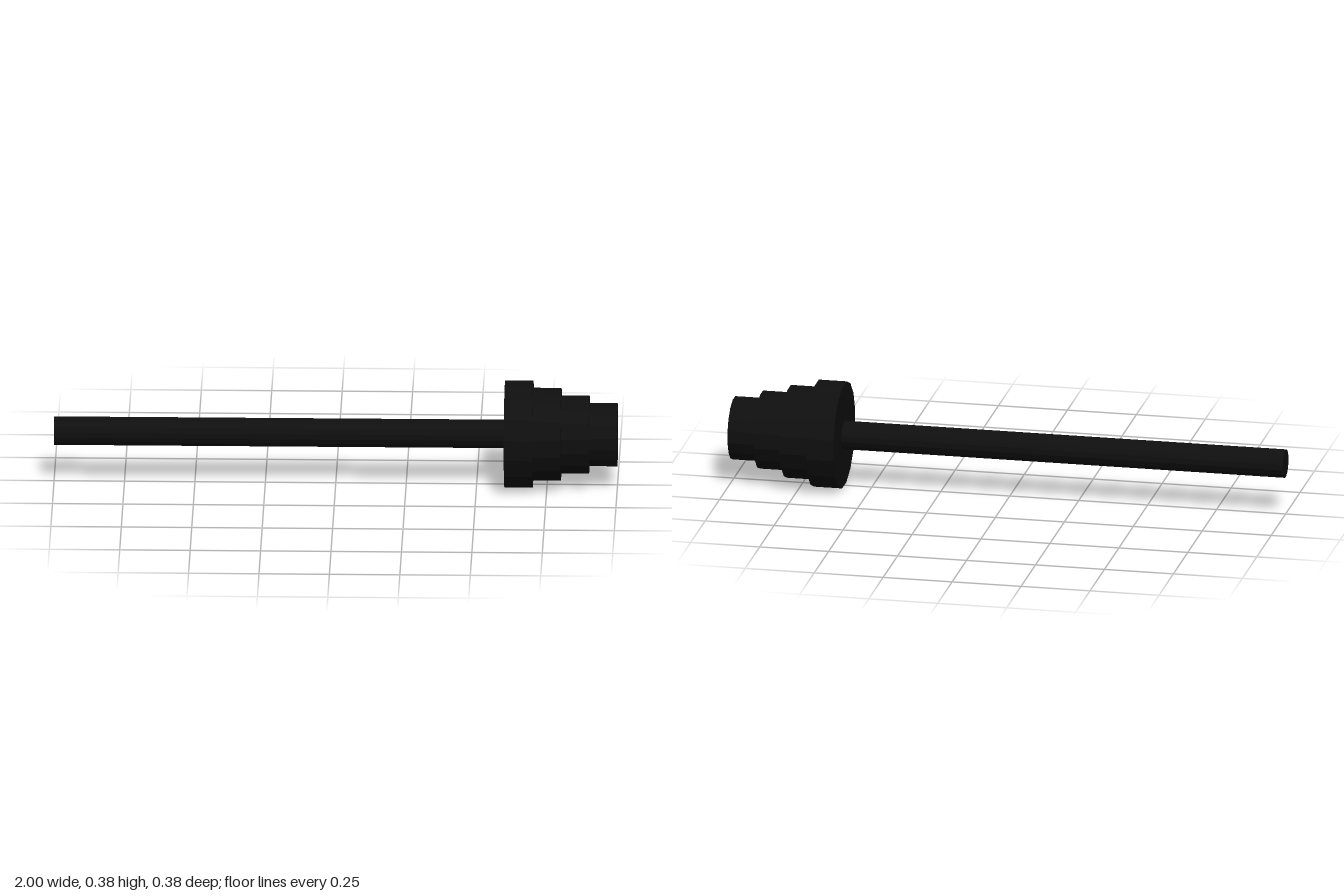
import * as THREE from 'three';

const SIDES = 16;
const HALF_STEP = Math.PI / SIDES;
const AXIS_Y = 0.188;

export function createModel() {
  const model = new THREE.Group();
  const black = new THREE.MeshStandardMaterial({ color: 0x0f0f0f, flatShading: true });
  black.name = 'black';

  // 16-sided cylinder lying along x, with flats facing up and down
  function addCylinder(name, halfHeight, x0, x1) {
    const radius = halfHeight / Math.cos(HALF_STEP);
    const geometry = new THREE.CylinderGeometry(radius, radius, x1 - x0, SIDES, 1, false, HALF_STEP);
    geometry.rotateZ(-Math.PI / 2);
    const mesh = new THREE.Mesh(geometry, black);
    mesh.name = name;
    mesh.position.set((x0 + x1) / 2, AXIS_Y, 0);
    model.add(mesh);
  }

  // Long bar
  addCylinder('bar', 0.05, -1, 0.6);

  // Stacked weight plates, shrinking towards the end
  [0.188, 0.163, 0.137, 0.111].forEach((halfHeight, i) => {
    addCylinder(`weightPlate${i + 1}`, halfHeight, 0.6 + i * 0.1, 0.7 + i * 0.1);
  });

  return model;
}
